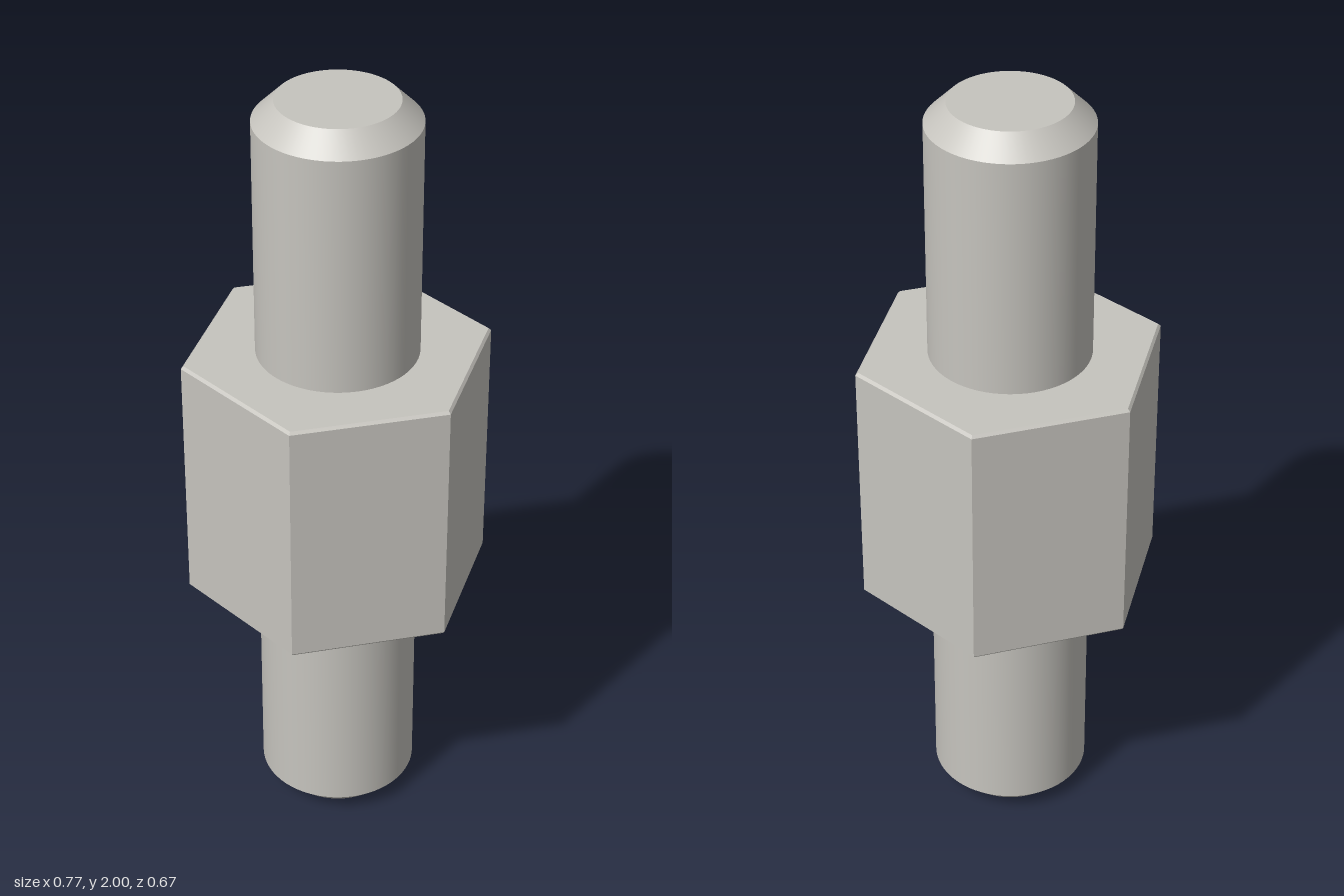
import * as THREE from 'three';
import { toCreasedNormals } from 'three/addons/utils/BufferGeometryUtils.js';

const steel = new THREE.MeshStandardMaterial({ color: 0xc6c4be });
steel.name = 'steel';

// Revolve a profile of [radius, y] points, listed from bottom to top
function turned(name, profile, segments, phiStart = 0) {
  const points = profile.map(([r, y]) => new THREE.Vector2(r, y));
  const lathe = new THREE.LatheGeometry(points, segments, phiStart);
  const mesh = new THREE.Mesh(toCreasedNormals(lathe, Math.PI / 6), steel);
  mesh.name = name;
  return mesh;
}

export function createModel() {
  const group = new THREE.Group();
  group.name = 'hexStud';

  // Round rod with a chamfer at each end
  const rod = 0.2, tip = 0.147, chamfer = 0.053;
  group.add(turned('rod', [
    [0, 0], [tip, 0], [rod, chamfer], [rod, 2 - chamfer], [tip, 2], [0, 2],
  ], 64));

  // Hexagonal body with finely bevelled rims, corners on the x axis
  const corner = 0.385, bevel = 0.007, low = 0.67, high = 1.333;
  group.add(turned('hexBody', [
    [0, low], [corner - bevel, low], [corner, low + bevel],
    [corner, high - bevel], [corner - bevel, high], [0, high],
  ], 6, Math.PI / 6));

  return group;
}
